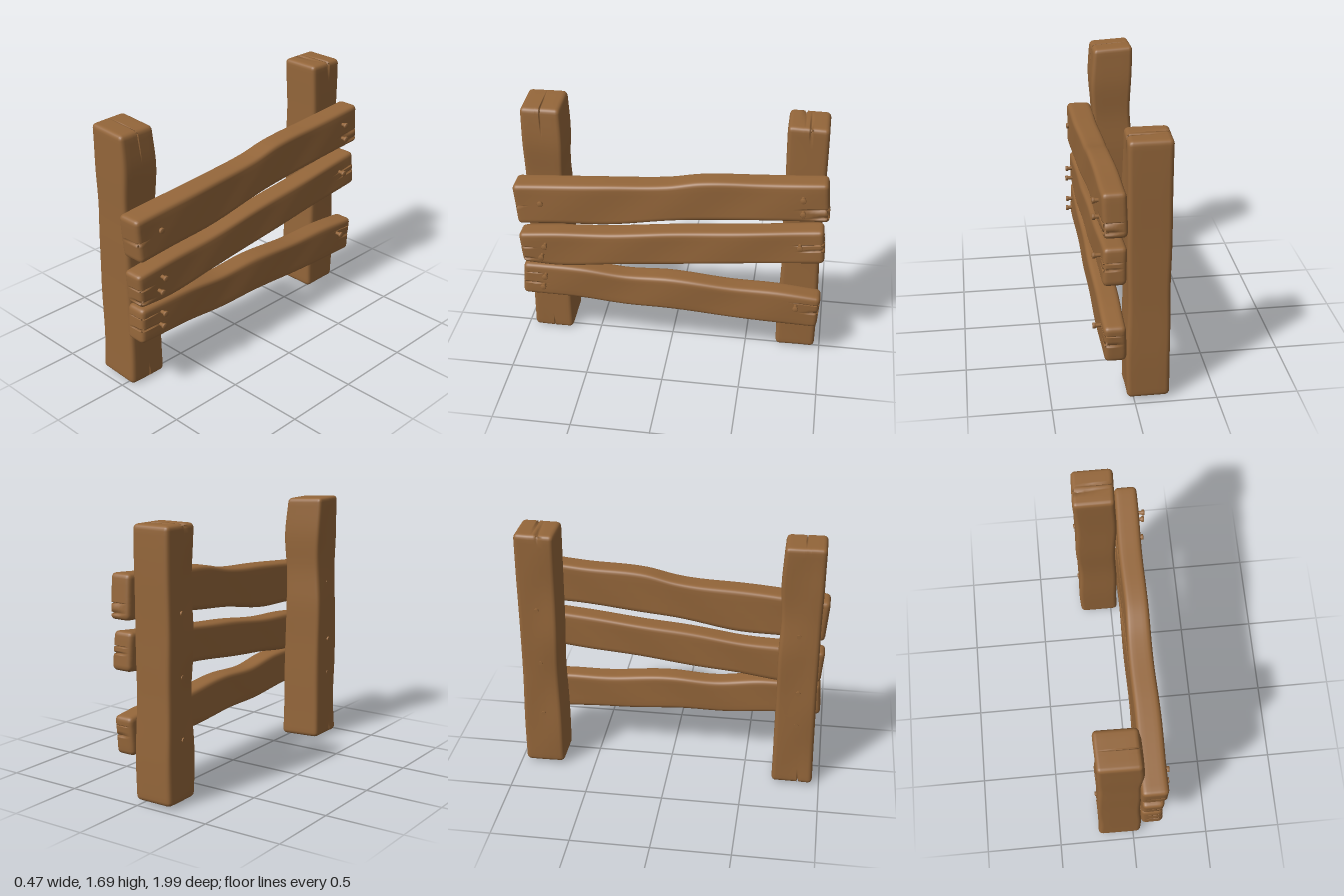
import * as THREE from 'three';
import { mergeVertices } from 'three/addons/utils/BufferGeometryUtils.js';

const wood = new THREE.MeshStandardMaterial({ color: 0x94663a });
wood.name = 'brown wood';

// Sorted cut positions across one side: rounded edges, even divisions and extra cuts
function cuts(size, r, n, extra = []) {
  const h = size / 2;
  const list = [-h, -h + r * 0.25, -h + r * 0.6, -h + r, h - r, h - r * 0.6, h - r * 0.25, h, ...extra];
  for (let i = 1; i < n; i++) list.push(-h + r + (size - 2 * r) * i / n);
  list.sort((a, b) => a - b);
  return list.filter((c, i) => i === 0 || c - list[i - 1] > 0.001);
}

// Hand-hewn timber along local z. Profile rows: [z, yLow, yHigh, xLow, xHigh].
// Cracks: { f: place across the height 0..1, end: +1/-1, len, side: +1/-1 in x }.
function timber(profile, { r = 0.03, shearY = 0, shearX = 0, cracks = [], seed = 0 }) {
  const z0 = profile[0][0], z1 = profile[profile.length - 1][0];
  const L = z1 - z0, zMid = (z0 + z1) / 2;
  const [, a0, a1, b0, b1] = profile[0];
  const H = a1 - a0, W = b1 - b0;
  const curve = new THREE.CubicInterpolant(
    new Float32Array(profile.map(p => p[0])),
    new Float32Array(profile.flatMap(p => p.slice(1))), 4);
  const lines = cracks.map(c => ({ side: 1, depth: 0.03, ...c, y: (c.f - 0.5) * H }));
  const xs = cuts(W, r, 4);
  const ys = cuts(H, r, 6, lines.flatMap(c => [c.y - 0.008, c.y, c.y + 0.008]));
  const zs = cuts(L, r, 60);
  const geo = new THREE.BoxGeometry(1, 1, 1, xs.length - 1, ys.length - 1, zs.length - 1);
  const pos = geo.attributes.position;
  const pick = (list, v) => list[Math.round((v + 0.5) * (list.length - 1))];
  const p = new THREE.Vector3(), q = new THREE.Vector3();
  const inner = new THREE.Vector3(W / 2 - r, H / 2 - r, L / 2 - r);
  const low = inner.clone().negate();
  for (let i = 0; i < pos.count; i++) {
    p.set(pick(xs, pos.getX(i)), pick(ys, pos.getY(i)), pick(zs, pos.getZ(i)));
    const flat = p.clone();
    // rounded edges
    q.copy(p).clamp(low, inner);
    p.sub(q).normalize().multiplyScalar(r).add(q);
    // cracks cut into the side and the end
    for (const c of lines) {
      if (Math.abs(flat.y - c.y) > 0.0015) continue;
      const fromEnd = L / 2 - c.end * flat.z, fromSide = W / 2 - c.side * flat.x;
      if (fromSide < 1e-4) p.x -= c.side * c.depth * Math.max(0, 1 - fromEnd / c.len);
      if (fromEnd < 1e-4) p.z -= c.end * c.depth * Math.max(0, 1 - fromSide / (W * 0.8));
    }
    // follow the uneven outline
    const z = p.z + zMid;
    const [yl, yh, xl, xh] = curve.evaluate(z);
    const bump = 0.003 * Math.sin(z * 9 + seed + p.y * 12);
    pos.setXYZ(i,
      (xl + xh) / 2 + p.x * (xh - xl) / W + bump,
      (yl + yh) / 2 + p.y * (yh - yl) / H + bump * 0.5,
      z + shearY * p.y + shearX * p.x);
  }
  geo.deleteAttribute('uv');
  geo.deleteAttribute('normal');
  const merged = mergeVertices(geo, 1e-5);
  merged.computeVertexNormals();
  return merged;
}

// Peg along x with a flared head facing +x
const pegShape = new THREE.LatheGeometry(
  [[0, -0.05], [0.012, -0.05], [0.012, 0.016], [0.018, 0.019], [0.019, 0.032], [0.016, 0.036], [0, 0.037]]
    .map(([x, y]) => new THREE.Vector2(x, y)), 12).rotateZ(-Math.PI / 2);

export function createModel() {
  const model = new THREE.Group();
  const add = (name, geo) => {
    const mesh = new THREE.Mesh(geo, wood);
    mesh.name = name;
    model.add(mesh);
    return mesh;
  };

  // Posts: built lying down, then stood upright (local y becomes -z)
  add('frontPost', timber([
    [0.006, -0.955, -0.69, -0.235, 0.052],
    [0.3, -0.952, -0.69, -0.226, 0.052],
    [0.65, -0.945, -0.695, -0.23, 0.045],
    [0.95, -0.948, -0.69, -0.228, 0.042],
    [1.2, -0.945, -0.70, -0.214, 0.042],
    [1.45, -0.95, -0.69, -0.222, 0.055],
    [1.683, -0.953, -0.70, -0.225, 0.04],
  ], {
    shearX: -0.05, seed: 1, cracks: [
      { f: 0.5, end: 1, len: 0.17 }, { f: 0.52, end: -1, len: 0.08 },
      { f: 0.35, end: -1, len: 0.08, side: -1 },
    ],
  }).rotateX(-Math.PI / 2));
  add('backPost', timber([
    [0.015, 0.705, 0.965, -0.215, 0.045],
    [0.35, 0.705, 0.962, -0.218, 0.045],
    [0.7, 0.712, 0.955, -0.21, 0.04],
    [1.0, 0.705, 0.95, -0.22, 0.04],
    [1.35, 0.702, 0.955, -0.212, 0.045],
    [1.672, 0.70, 0.95, -0.22, 0.04],
  ], {
    seed: 4, cracks: [{ f: 0.56, end: 1, len: 0.1 }, { f: 0.4, end: 1, len: 0.05, side: -1 }],
  }).rotateX(-Math.PI / 2));

  // Rails
  add('topRail', timber([
    [-0.983, 1.11, 1.38, 0.048, 0.192],
    [-0.6, 1.088, 1.352, 0.045, 0.192],
    [-0.2, 1.052, 1.325, 0.045, 0.19],
    [0, 1.03, 1.285, 0.042, 0.192],
    [0.4, 0.965, 1.252, 0.04, 0.198],
    [0.75, 0.945, 1.228, 0.038, 0.202],
    [0.985, 0.925, 1.21, 0.036, 0.204],
  ], {
    shearY: 0.09, seed: 2, cracks: [
      { f: 0.36, end: -1, len: 0.18, depth: 0.04 }, { f: 0.14, end: -1, len: 0.13 },
      { f: 0.48, end: 1, len: 0.04 },
    ],
  }));
  add('middleRail', timber([
    [-0.975, 0.80, 1.04, 0.048, 0.188],
    [-0.5, 0.75, 0.985, 0.045, 0.188],
    [0, 0.695, 0.935, 0.045, 0.19],
    [0.4, 0.65, 0.885, 0.043, 0.188],
    [0.74, 0.61, 0.862, 0.045, 0.188],
    [0.975, 0.618, 0.838, 0.047, 0.185],
  ], {
    shearY: 0.08, seed: 5, cracks: [
      { f: 0.6, end: -1, len: 0.19 }, { f: 0.43, end: -1, len: 0.15 },
      { f: 0.55, end: 1, len: 0.09 }, { f: 0.16, end: 1, len: 0.08 },
    ],
  }));
  add('bottomRail', timber([
    [-0.975, 0.285, 0.52, 0.05, 0.182],
    [-0.7, 0.295, 0.545, 0.048, 0.185],
    [-0.4, 0.31, 0.55, 0.048, 0.188],
    [0, 0.335, 0.58, 0.046, 0.188],
    [0.3, 0.337, 0.57, 0.048, 0.185],
    [0.6, 0.362, 0.602, 0.046, 0.188],
    [0.973, 0.37, 0.605, 0.048, 0.19],
  ], {
    shearY: -0.06, seed: 8, cracks: [
      { f: 0.76, end: -1, len: 0.17 }, { f: 0.5, end: -1, len: 0.1 },
      { f: 0.74, end: 1, len: 0.12 }, { f: 0.4, end: 1, len: 0.14 },
    ],
  }));

  // Pegs through the rail faces: [y, z]
  for (const [y, z] of [
    [1.1, 0.815], [1.28, -0.825], [1.18, -0.83],
    [0.78, 0.805], [0.695, 0.83], [0.93, -0.825],
    [0.54, 0.815], [0.46, 0.83], [0.46, -0.825],
  ]) add('railPeg', pegShape).position.set(y > 1 && z > 0 ? 0.186 : 0.198, y, z);

  // Peg tips showing on the far side of the posts: [x, y, z]
  const tip = new THREE.CylinderGeometry(0.015, 0.013, 0.04, 12).rotateZ(Math.PI / 2);
  for (const [x, y, z] of [
    [-0.205, 1.1, 0.815], [-0.22, 0.7, 0.83], [-0.214, 0.46, 0.83],
    [-0.205, 1.16, -0.83], [-0.2, 0.78, -0.825], [-0.203, 0.4, -0.825],
  ]) add('pegTip', tip).position.set(x, y, z);

  return model;
}
